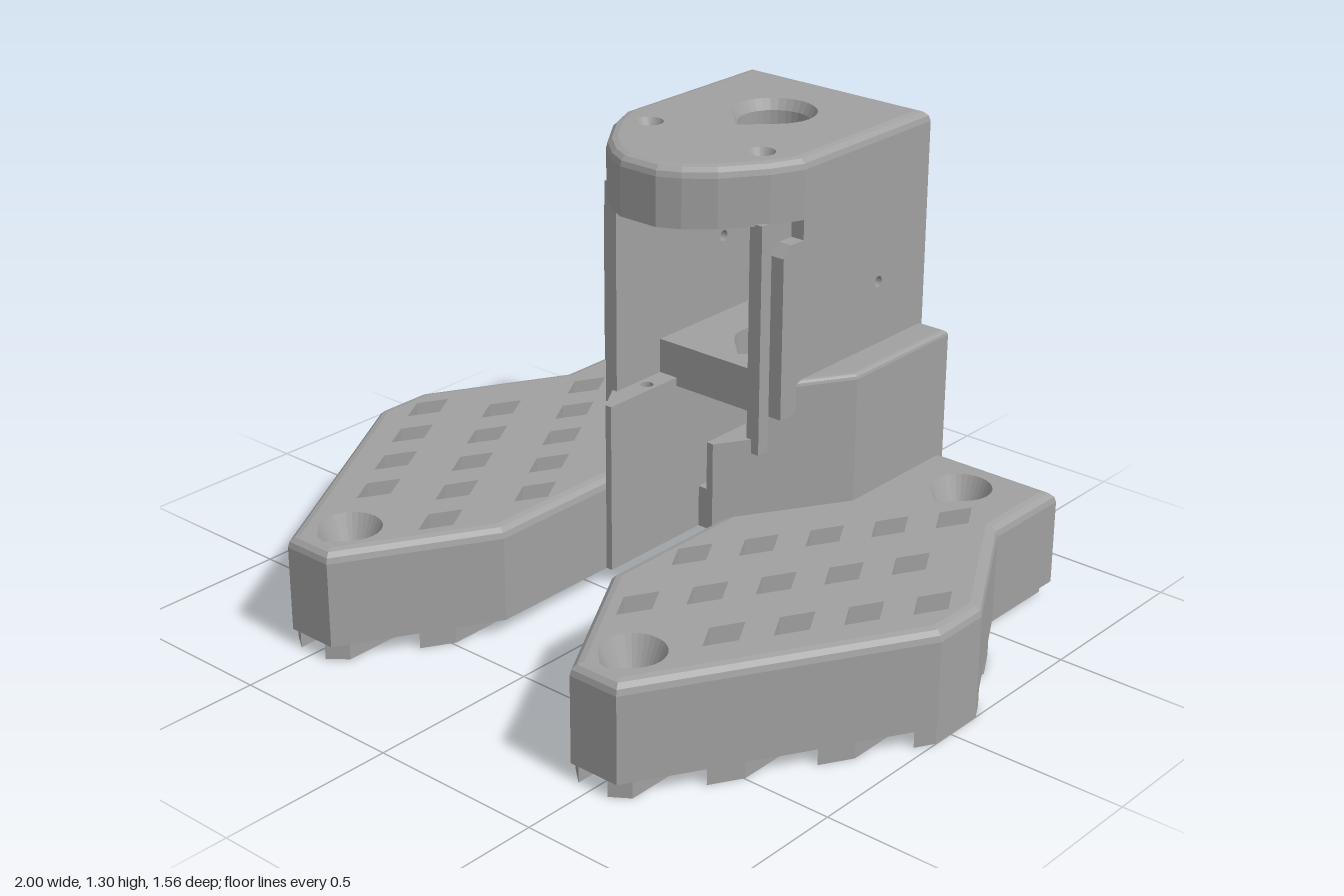
import * as THREE from 'three';
import { mergeGeometries } from 'three/addons/utils/BufferGeometryUtils.js';

const grey = new THREE.MeshStandardMaterial({ color: 0xa0a0a0 });
grey.name = 'grey plastic';

const toVecs = (pts) => pts.map(([x, z]) => new THREE.Vector2(x, z));

// outline in (x, z), mirrored by s and always wound the same way
function outline(pts, s = 1) {
  const v = toVecs(pts.map(([x, z]) => [x * s, z]));
  return THREE.ShapeUtils.area(v) < 0 ? v.reverse() : v;
}

function inset(pts, d) {
  const n = pts.length;
  const normal = (a, b) => new THREE.Vector2(a.y - b.y, b.x - a.x).normalize();
  return pts.map((p, i) => {
    const n1 = normal(pts[(i + n - 1) % n], p), n2 = normal(p, pts[(i + 1) % n]);
    return p.clone().addScaledVector(n1.clone().add(n2), d / (1 + n1.dot(n2)));
  });
}

// joins stacked outlines [points, y] with flat faces
function loft(loops, inward = false) {
  const pos = [];
  for (let k = 0; k + 1 < loops.length; k++) {
    const [A, ya] = loops[k], [B, yb] = loops[k + 1];
    A.forEach((p, i) => {
      const j = (i + 1) % A.length;
      const a = [p.x, ya, p.y], b = [A[j].x, ya, A[j].y];
      const c = [B[j].x, yb, B[j].y], d = [B[i].x, yb, B[i].y];
      const quad = inward ? [a, b, c, a, c, d] : [a, c, b, a, d, c];
      quad.forEach((v) => pos.push(...v));
    });
  }
  const g = new THREE.BufferGeometry();
  g.setAttribute('position', new THREE.Float32BufferAttribute(pos, 3));
  g.computeVertexNormals();
  return g;
}

// upright prism between two heights, with through holes
function prism(pts, holes, y0, y1) {
  const shape = new THREE.Shape(pts);
  holes.forEach((h) => shape.holes.push(new THREE.Path(h)));
  const g = new THREE.ExtrudeGeometry(shape, { depth: y1 - y0, bevelEnabled: false });
  g.rotateX(Math.PI / 2).translate(0, y1, 0);
  g.deleteAttribute('uv');
  return g;
}

// prism with a rounded upper rim of radius r
function roundedPlate(pts, holes, y0, y1, r) {
  const inner = inset(pts, r);
  const rim = loft([[inner, y0], [pts, y0], [pts, y1 - r],
    [inset(pts, r * 0.13), y1 - r * 0.5], [inset(pts, r * 0.5), y1 - r * 0.13], [inner, y1]]);
  return mergeGeometries([prism(inner, holes, y0, y1), rim]);
}

// round hole with its point toward +z
function teardrop(cx, cz, r, pointed = true) {
  return Array.from({ length: 32 }, (_, i) => {
    const t = (i / 32) * Math.PI * 2;
    const off = Math.abs(t - Math.PI / 2);
    const q = pointed && off < Math.PI / 4 ? r / Math.cos(Math.PI / 4 - off) : r;
    return new THREE.Vector2(cx + q * Math.cos(t), cz + q * Math.sin(t));
  });
}

// countersunk lining for a hole
function funnel(cx, cz, R, r, y0, y1, depth, pointed = true) {
  const big = teardrop(cx, cz, R, pointed), small = teardrop(cx, cz, r, pointed);
  return loft([[big, y0], [small, y0], [small, y1 - depth], [big, y1]], true);
}

function inside(p, poly) {
  let hit = false;
  poly.forEach((a, i) => {
    const b = poly[(i + 1) % poly.length];
    if ((a.y > p.y) !== (b.y > p.y) && p.x < a.x + ((p.y - a.y) * (b.x - a.x)) / (b.y - a.y)) hit = !hit;
  });
  return hit;
}

const WING = [[0.19, -0.78], [0.78, -0.78], [0.78, -0.5], [1, -0.11], [1, 0.06],
  [0.58, 0.78], [0.43, 0.78], [0.19, 0.37]];
const SCREWS = [[0.57, -0.63], [0.5, 0.63]];

// tilted lattice of diamond cut-outs that fit on the wing
function diamonds() {
  const edge = inset(outline(WING), 0.032), list = [];
  for (let i = -8; i <= 10; i++) for (let j = -8; j <= 8; j++) {
    const x = 0.83 - 0.096 * i + 0.166 * j, z = -0.33 + 0.155 * i + 0.134 * j;
    const d = [[x + 0.047, z], [x, z + 0.082], [x - 0.047, z], [x, z - 0.082]];
    const clear = SCREWS.every(([a, b]) => Math.hypot(x - a, z - b) > 0.165);
    const pastShoulder = x > 0.42 || z > -0.37 + (0.4 - x) * 1.62;
    if (clear && pastShoulder && toVecs(d).every((p) => inside(p, edge))) list.push(d);
  }
  return list;
}

// front and back limits of the wing at a given x
function wingSpan(x) {
  const zs = [];
  WING.forEach(([ax, az], i) => {
    const [bx, bz] = WING[(i + 1) % WING.length];
    if ((ax > x) !== (bx > x)) zs.push(az + ((x - ax) * (bz - az)) / (bx - ax));
  });
  return [Math.min(...zs), Math.max(...zs)];
}

// upright side wall drawn in (z, y), from x0 to x1, with a pin hole
function sideWall(pts, x0, x1) {
  const shape = new THREE.Shape(toVecs(pts));
  shape.holes.push(new THREE.Path().absarc(-0.57, 0.87, 0.016, 0, Math.PI * 2, true));
  const g = new THREE.ExtrudeGeometry(shape, { depth: x1 - x0, bevelEnabled: false, curveSegments: 8 });
  return g.rotateY(-Math.PI / 2).translate(x1, 0, 0);
}

export function createModel() {
  const model = new THREE.Group();
  model.name = 'stand';
  const add = (name, geometry) => {
    const m = new THREE.Mesh(geometry, grey);
    m.name = name;
    model.add(m);
  };
  const box = (name, x0, x1, y0, y1, z0, z1) => add(name, new THREE.BoxGeometry(x1 - x0, y1 - y0, z1 - z0)
    .translate((x0 + x1) / 2, (y0 + y1) / 2, (z0 + z1) / 2));
  const cutouts = diamonds();

  for (const s of [1, -1]) {
    const side = s > 0 ? 'left' : 'right';
    // perforated foot with countersunk screw holes
    const holes = cutouts.map((d) => outline(d, s));
    SCREWS.forEach(([x, z]) => {
      holes.push(teardrop(x * s, z, 0.085));
      add(side + 'ScrewHole', funnel(x * s, z, 0.085, 0.05, 0.045, 0.32, 0.08));
    });
    add(side + 'Foot', roundedPlate(outline(WING, s), holes, 0.045, 0.32, 0.032));

    // runners under the foot, cut to its outline
    for (const x of [0.285, 0.43, 0.575, 0.72, 0.865, 0.984]) {
      const w = x > 0.95 ? 0.015 : 0.025;
      const [a0, a1] = wingSpan(x - w), [b0, b1] = wingSpan(x + w);
      add(side + 'Runner', prism(outline([[x - w, a0], [x + w, b0], [x + w, b1], [x - w, a1]], s), [], 0, 0.05));
    }

    // stepped shoulder beside the tower
    add(side + 'LowerShoulder', prism(outline([[0.17, -0.78], [0.4, -0.78], [0.4, -0.37],
      [0.19, -0.03], [0.17, -0.03]], s), [teardrop(0.2 * s, -0.21, 0.018, false)], 0.045, 0.54));
    add(side + 'UpperShoulder', roundedPlate(outline([[0.23, -0.78], [0.4, -0.78], [0.4, -0.37],
      [0.27, -0.16], [0.23, -0.12]], s), [], 0.54, 0.69, 0.015));

    // tower wall: inner strip reaches further forward than the outer skin
    const inner = [[-0.78, 0.5], [-0.12, 0.5], [-0.12, 1.14], [-0.78, 1.14]];
    const outer = [[-0.78, 0.6], [-0.16, 0.6], [-0.16, 1.05], [-0.19, 1.08], [-0.24, 1.08],
      [-0.24, 1.14], [-0.78, 1.14]];
    const span = (a, b) => (s > 0 ? [a, b] : [-b, -a]);
    add(side + 'InnerWall', sideWall(inner, ...span(0.23, 0.27)));
    add(side + 'OuterWall', sideWall(outer, ...span(0.27, 0.31)));
  }

  // roof with rounded prow, large funnel and two small screw holes
  const half = [[0.31, -0.78], [0.31, -0.24], [0.27, -0.15], [0.19, -0.04], [0.12, 0.02], [0.06, 0.05]];
  const roof = outline([...half, ...half.map(([x, z]) => [-x, z]).reverse()]);
  const small = [-0.19, 0.19];
  add('roof', roundedPlate(roof, [teardrop(0, -0.5, 0.115),
    ...small.map((x) => teardrop(x, -0.21, 0.038, false))], 1.135, 1.3, 0.03));
  add('roofFunnel', funnel(0, -0.5, 0.115, 0.1, 1.135, 1.3, 0.03));
  small.forEach((x) => add('roofScrewHole', funnel(x, -0.21, 0.038, 0.018, 1.135, 1.3, 0.04, false)));

  // shelf, lintel, floor and cable hooks inside the tower
  add('shelf', prism(outline([[-0.23, -0.78], [0.23, -0.78], [0.23, -0.3], [-0.23, -0.3]]),
    [teardrop(0, -0.5, 0.1)], 0.515, 0.64));
  box('backLintel', -0.23, 0.23, 1.04, 1.14, -0.78, -0.7);
  box('floor', -0.17, 0.17, 0.045, 0.17, -0.78, -0.4);
  box('hookStem', -0.17, -0.14, 0.44, 0.52, -0.6, -0.45);
  box('hookStem', -0.06, 0, 0.44, 0.52, -0.6, -0.45);
  box('hookLip', -0.15, -0.12, 0.44, 0.46, -0.6, -0.45);
  box('hookLip', -0.08, -0.05, 0.44, 0.46, -0.6, -0.45);
  return model;
}
